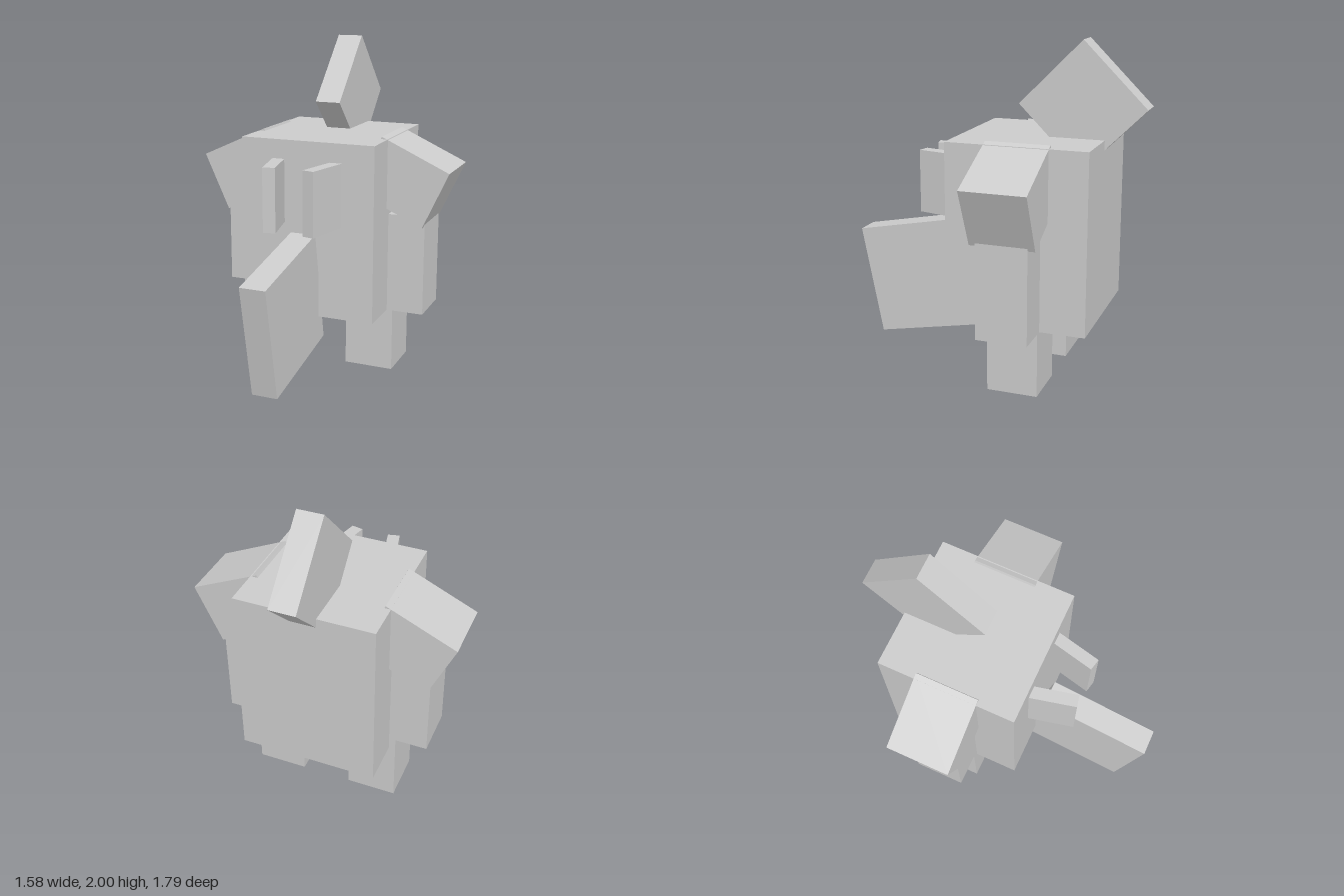
import * as THREE from 'three';

export function createModel() {
  const model = new THREE.Group();
  const material = new THREE.MeshStandardMaterial({ color: 0xcccccc, flatShading: true });

  function box(name, size, position, rotation = [0, 0, 0]) {
    const mesh = new THREE.Mesh(new THREE.BoxGeometry(...size), material);
    mesh.name = name;
    mesh.position.set(...position);
    mesh.rotation.set(...rotation);
    model.add(mesh);
  }

  // Boxy torso that doubles as the head
  box('body', [0.83, 1.06, 0.835], [0, 0.915, -0.2375]);

  // Diamond-set crest on top and tilted trunk slab in front
  box('crest', [0.155, 0.53, 0.53], [-0.0025, 1.628, -0.52], [Math.PI / 4, 0, 0]);
  box('trunk', [0.155, 0.682, 0.682], [-0.0025, 0.505, 0.5], [0.192, 0, 0]);

  // Paired parts, s = +1 on the model's left
  for (const s of [1, -1]) {
    const side = s > 0 ? 'left' : 'right';
    box(side + 'Eye', [0.073, 0.38, 0.34], [s * 0.158, 1.14, 0.275], [0, -s * 0.227, 0]);
    box(side + 'Shoulder', [0.452, 0.374, 0.38], [s * 0.508 - 0.003, 1.195, -0.24], [0, 0, -s * 0.43]);
    box(side + 'Leg', [0.302, 0.5, 0.302], [s * 0.302 - 0.002, 0.25, -0.2375]);
  }

  // Forearms hang at slightly different heights
  box('leftForearm', [0.302, 0.605, 0.302], [0.489, 0.6875, -0.2375]);
  box('rightForearm', [0.302, 0.605, 0.302], [-0.496, 0.7625, -0.2375]);

  return model;
}
